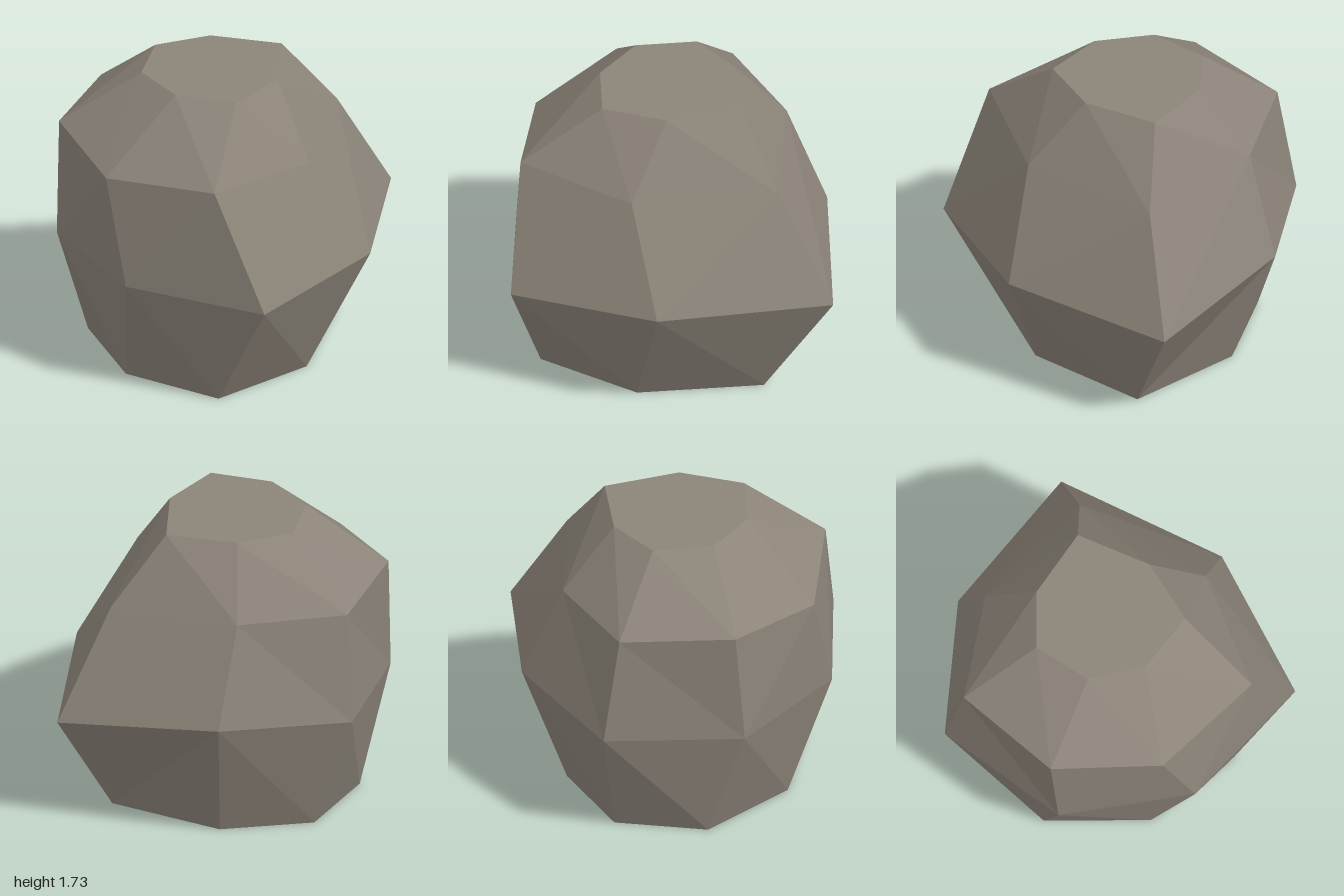
import * as THREE from 'three';

// Four seven-sided cross-sections, bottom to top, each corner as [x, y, z]
const RINGS = [
  [[0.64, 0, -0.32], [0.08, 0, -0.73], [-0.47, 0, -0.73], [-0.8, 0, -0.3], [-0.67, 0, 0.3], [-0.19, 0, 0.69], [0.37, 0, 0.36]],
  [[1, 0.69, -0.58], [0.13, 0.78, -1], [-0.66, 0.73, -0.91], [-1, 0.7, -0.17], [-0.71, 0.7, 0.57], [0.03, 0.68, 1], [0.73, 0.73, 0.42]],
  [[0.66, 1.32, -0.4], [-0.01, 1.36, -0.81], [-0.65, 1.37, -0.8], [-0.98, 1.39, -0.22], [-0.8, 1.32, 0.4], [-0.23, 1.38, 0.8], [0.38, 1.33, 0.4]],
  [[0.33, 1.73, -0.34], [-0.06, 1.73, -0.5], [-0.39, 1.73, -0.43], [-0.52, 1.73, -0.1], [-0.37, 1.73, 0.21], [-0.04, 1.73, 0.37], [0.24, 1.73, 0.1]],
];

// Which way each facet is creased: 1 rises towards the next corner, 0 falls
const CREASES = ['1000000', '1001111', '0000000'];

export function createModel() {
  const stone = new THREE.MeshStandardMaterial({ color: 0x8c8479, flatShading: true });
  stone.name = 'stone';

  const sides = RINGS[0].length;
  const positions = [];
  const triangle = (a, b, c) => positions.push(...a, ...b, ...c);

  // Side facets between neighbouring rings
  CREASES.forEach((creases, band) => {
    const lower = RINGS[band];
    const upper = RINGS[band + 1];
    for (let i = 0; i < sides; i++) {
      const j = (i + 1) % sides;
      if (creases[i] === '1') {
        triangle(lower[i], lower[j], upper[j]);
        triangle(lower[i], upper[j], upper[i]);
      } else {
        triangle(lower[i], lower[j], upper[i]);
        triangle(lower[j], upper[j], upper[i]);
      }
    }
  });

  // Flat base and flat top
  const base = RINGS[0];
  const top = RINGS[RINGS.length - 1];
  for (let i = 1; i < sides - 1; i++) {
    triangle(base[0], base[i + 1], base[i]);
    triangle(top[0], top[i], top[i + 1]);
  }

  const geometry = new THREE.BufferGeometry();
  geometry.setAttribute('position', new THREE.Float32BufferAttribute(positions, 3));
  geometry.computeVertexNormals();

  const boulder = new THREE.Mesh(geometry, stone);
  boulder.name = 'boulder';

  const group = new THREE.Group();
  group.name = 'rock';
  group.add(boulder);
  return group;
}
